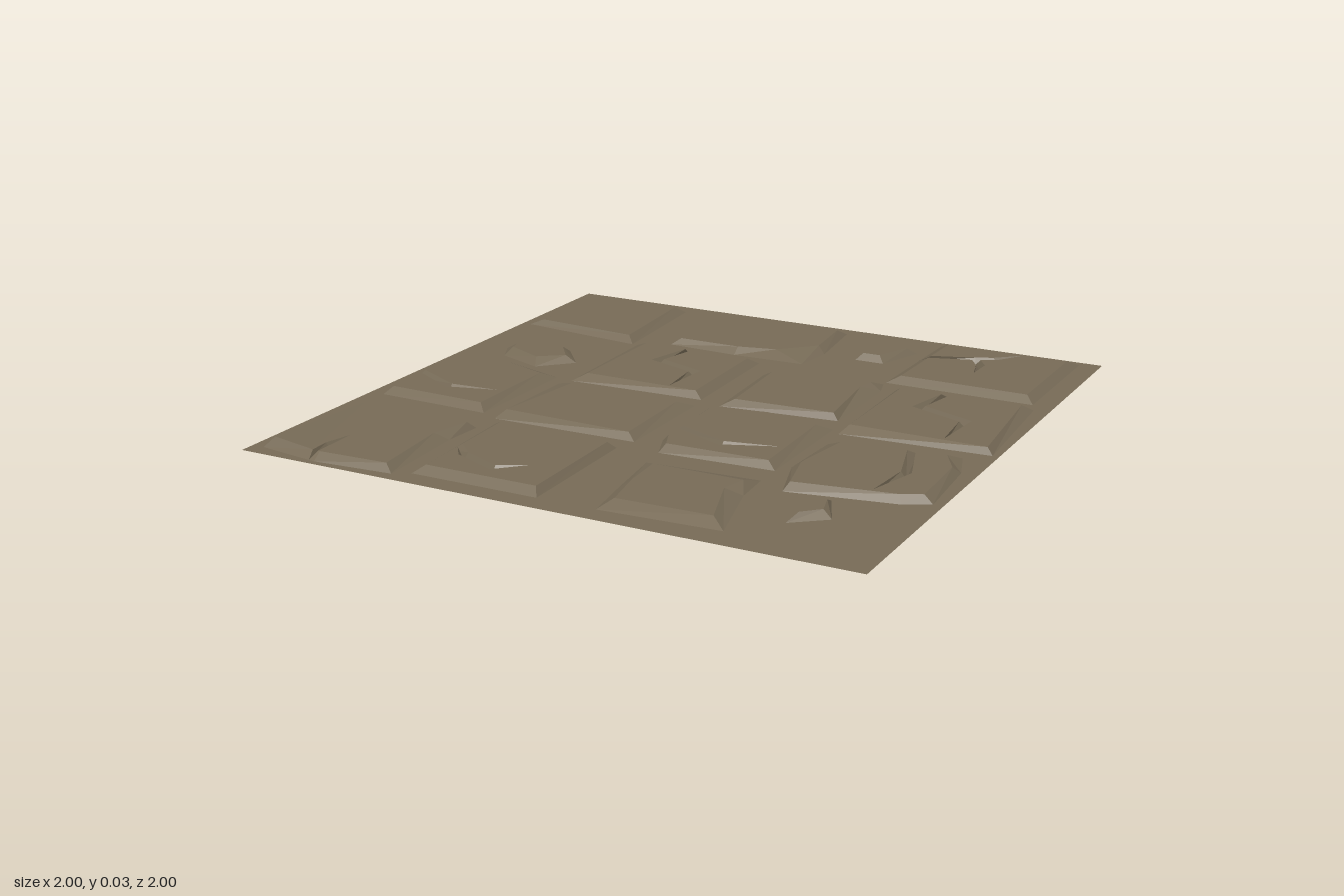
import * as THREE from 'three';

const HEIGHT = 0.022;
const material = new THREE.MeshStandardMaterial({ color: 0x766a56, flatShading: true, side: THREE.DoubleSide });

// Flat list in hundredths -> 2D points (x, z)
const points = (list) => {
  const out = [];
  for (let i = 0; i < list.length; i += 2) out.push(new THREE.Vector2(list[i] / 100, list[i + 1] / 100));
  return out;
};

// Walk along a crack and back again
const thereAndBack = (list) => {
  const p = points(list);
  return [...p, ...p.slice(0, -1).reverse()];
};

// A V-shaped crack: the base follows its centre line, the top is pushed aside by w
function cutCrack(base, top, { edge, t, walk, w = 0.016 }) {
  const next = (edge + 1) % base.length;
  const mouth = base[edge].clone().lerp(base[next], t);
  const dt = w / base[edge].distanceTo(base[next]);
  const rim = (s) => top[edge].clone().lerp(top[next], t + s * dt);
  const path = [mouth, ...walk, mouth];
  const normal = (a, b) => {
    const d = b.clone().sub(a).normalize();
    return new THREE.Vector2(-d.y, d.x);
  };
  const shifted = walk.map((p, i) => {
    const n1 = normal(path[i], p), n2 = normal(p, path[i + 2]);
    const k = 1 + n1.dot(n2);
    return k < 0.05 ? p.clone() : p.clone().addScaledVector(n1.add(n2), w / Math.max(k, 0.5));
  });
  return {
    base: [...base.slice(0, edge + 1), ...path, ...base.slice(edge + 1)],
    top: [...top.slice(0, edge + 1), rim(-1), ...shifted, rim(1), ...top.slice(edge + 1)],
  };
}

// Bevelled stone: base ring on the ground, smaller top ring, optional crack and raised corner
function stone(name, baseList, topList, { crack, raised } = {}) {
  let base = points(baseList), top = points(topList);
  const lifted = raised === undefined ? null : top[raised];
  if (crack) ({ base, top } = cutCrack(base, top, crack));
  const low = base.map((p) => new THREE.Vector3(p.x, 0, p.y));
  const high = top.map((p) => new THREE.Vector3(p.x, p === lifted ? 0.032 : HEIGHT, p.y));
  const verts = [];
  const tri = (a, b, c) => verts.push(...a.toArray(), ...b.toArray(), ...c.toArray());
  // Sloping sides and crack walls
  low.forEach((b0, i) => {
    const j = (i + 1) % low.length;
    tri(b0, high[i], low[j]);
    tri(low[j], high[i], high[j]);
  });
  // Top face, always facing up
  for (const [a, b, c] of THREE.ShapeUtils.triangulateShape(top, [])) {
    const turn = top[b].clone().sub(top[a]).cross(top[c].clone().sub(top[a]));
    if (turn > 0) tri(high[a], high[c], high[b]);
    else tri(high[a], high[b], high[c]);
  }
  const geometry = new THREE.BufferGeometry();
  geometry.setAttribute('position', new THREE.Float32BufferAttribute(verts, 3));
  geometry.computeVertexNormals();
  const mesh = new THREE.Mesh(geometry, material);
  mesh.name = name;
  return mesh;
}

export function createModel() {
  const model = new THREE.Group();
  model.name = 'stoneFloor';

  const ground = new THREE.Mesh(new THREE.PlaneGeometry(2, 2).rotateX(-Math.PI / 2), material);
  ground.name = 'ground';
  model.add(ground);

  // Back row
  model.add(
    stone('slabBackRight', [-93, -96, -55, -94, -52, -49, -97, -54], [-89, -92, -58, -91, -55, -52, -92, -55]),
    stone('slabBackMiddle', [-41, -94, 9, -95, 12, -69, 10, -55, -15, -54, -40, -55],
      [-38, -91, 7, -91, 9, -71, -2, -60, -15, -57, -37, -57]),
    stone('pebbleSquare', [25, -85, 40, -84, 34, -68, 24, -68], [27, -82, 37, -82, 32, -70, 26, -70]),
    stone('slabBackLeft', [44, -96, 93, -97, 93, -49, 43, -49], [48, -93, 90, -93, 90, -52, 47, -52], {
      crack: {
        edge: 3, t: 0.59, w: 0.014,
        walk: points([62, -81, 66, -75, 67, -66, 66, -75, 62, -81, 68, -84, 75, -92, 68, -84, 62, -81]),
      },
    }),
  );

  // Second row
  model.add(
    stone('pebbleHexagon', [-88, -25, -76, -33, -67, -32, -58, -21, -68, -11, -84, -17],
      [-84, -25, -76, -30, -68, -29, -62, -21, -70, -15, -83, -21]),
    stone('slabSecondRight', [-50, -49, -3, -49, -2, -5, -49, -3], [-45, -46, -6, -46, -5, -7, -45, -7],
      { crack: { edge: 0, t: 0.43, walk: thereAndBack([-32, -31, -15, -25, -15, -8]) } }),
    stone('slabSecondMiddle', [4, -38, 43, -47, 45, -40, 45, -6, 6, -2], [8, -36, 41, -41, 40, -35, 43, -7, 10, -5]),
    stone('slabSecondLeft', [49, -44, 95, -44, 98, 2, 50, 5], [52, -39, 92, -41, 96, 1, 52, 1],
      { crack: { edge: 0, t: 0.38, walk: thereAndBack([64, -25, 82, -18, 82, 0]) } }),
  );

  // Third row
  model.add(
    stone('slabThirdRight', [-97, -7, -76, -8, -55, -4, -56, 38, -95, 37], [-95, -5, -77, -6, -59, 0, -59, 35, -93, 34],
      { crack: { edge: 4, t: 0.45, walk: thereAndBack([-78, 25, -61, 22]) } }),
    stone('slabThirdMiddle', [-51, 1, -1, 1, -1, 40, -50, 41], [-44, 5, -5, 6, -4, 38, -48, 37]),
    stone('slabThirdInnerLeft', [4, 2, 25, 0, 47, 2, 47, 43, 10, 45, 6, 35], [7, 5, 25, 2, 43, 6, 44, 41, 11, 42, 8, 35],
      { crack: { edge: 5, t: 0.27, walk: thereAndBack([25, 34, 42, 29]) } }),
    stone('slabThirdLeft', [51, 15, 91, 8, 95, 20, 97, 47, 89, 51, 56, 57, 50, 38],
      [56, 17, 88, 13, 93, 22, 94, 46, 88, 49, 57, 54, 53, 38],
      { crack: { edge: 0, t: 0.67, walk: thereAndBack([83, 32, 80, 49]) } }),
  );

  // Front row
  model.add(
    stone('slabFrontRight', [-94, 50, -65, 49, -50, 51, -51, 64, -49, 96, -75, 98, -96, 95],
      [-91, 52, -66, 52, -52, 53, -55, 66, -52, 94, -75, 95, -93, 93],
      { raised: 6, crack: { edge: 5, t: 0.1, w: 0.012, walk: thereAndBack([-77, 88, -76, 79]) } }),
    stone('slabFrontMiddle', [-47, 45, -3, 47, -2, 93, -44, 93], [-43, 48, -5, 49, -4, 90, -41, 90],
      { crack: { edge: 3, t: 0.44, walk: thereAndBack([-37, 77, -23, 83, -15, 77]) } }),
    stone('slabFrontLeft', [11, 54, 47, 52, 48, 65, 55, 91, 17, 93, 14, 75],
      [16, 59, 45, 59, 43, 67, 50, 87, 20, 88, 17, 73]),
    stone('chip', [71, 57, 77, 70, 67, 78], [72, 62, 74, 69, 69, 74]),
  );
  return model;
}
